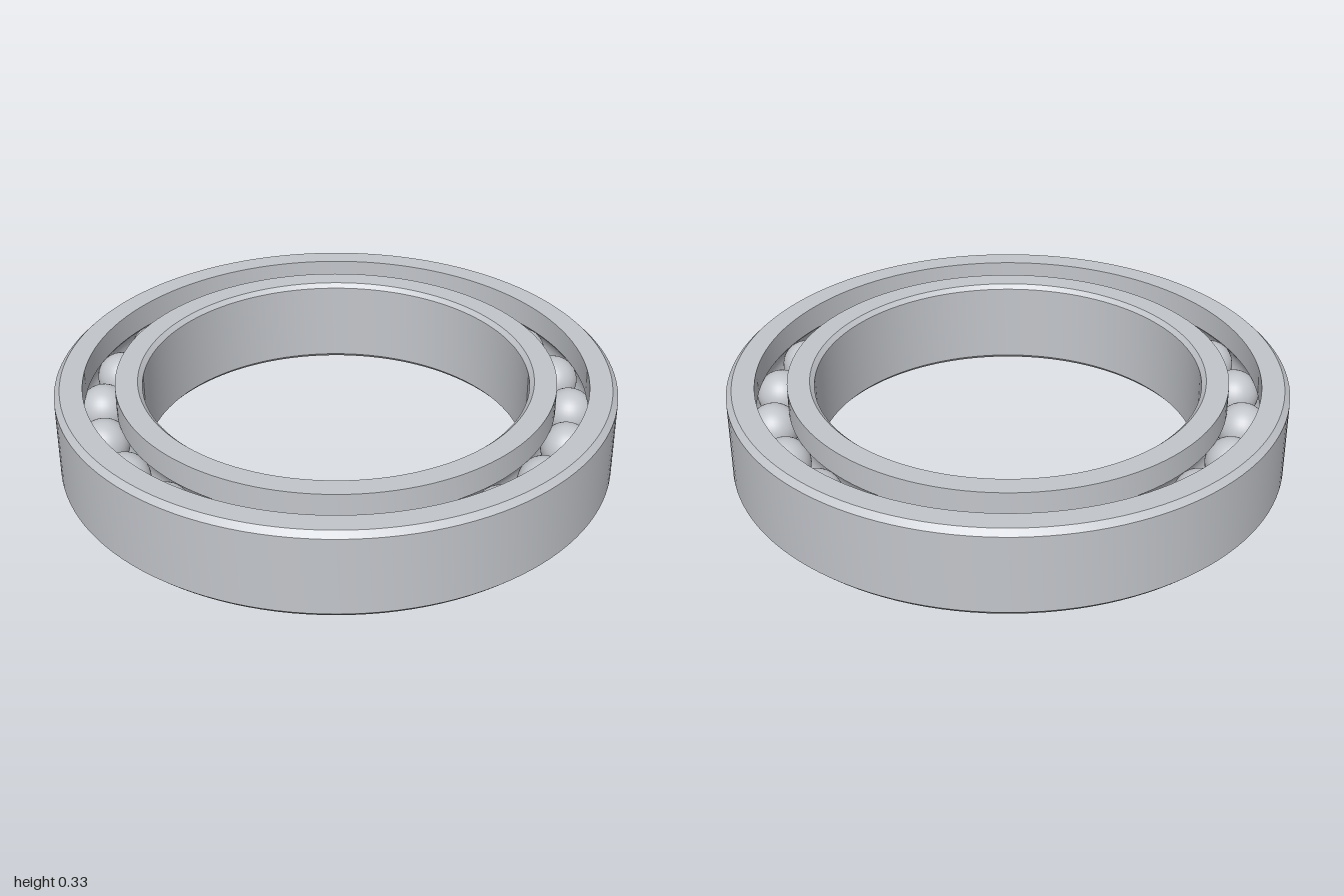
import * as THREE from 'three';
import { toCreasedNormals } from 'three/addons/utils/BufferGeometryUtils.js';

const HEIGHT = 0.328, MID = HEIGHT / 2;
const PITCH = 0.842, BALL_R = 0.09, GROOVE_R = 0.091, BALLS = 22;

export function createModel() {
  const steel = new THREE.MeshStandardMaterial({ color: 0xc2c5ca });
  steel.name = 'steel';
  const bearing = new THREE.Group();
  bearing.name = 'ballBearing';

  // Ring: chamfered on its plain wall, with a ball groove in its track wall
  function addRing(name, wall, track, chamfer) {
    const side = Math.sign(wall - track); // +1 for the outer ring, -1 for the inner
    const pts = [
      [track, 0], [wall - side * chamfer, 0], [wall, chamfer],
      [wall, HEIGHT - chamfer], [wall - side * chamfer, HEIGHT], [track, HEIGHT],
    ];
    const half = Math.acos(Math.abs(track - PITCH) / GROOVE_R);
    for (let i = 0; i <= 12; i++) {
      const a = half * (1 - i / 6);
      pts.push([PITCH + side * GROOVE_R * Math.cos(a), MID + GROOVE_R * Math.sin(a)]);
    }
    pts.push([track, 0]);
    if (side < 0) pts.reverse(); // keep faces pointing outwards
    const lathe = new THREE.LatheGeometry(pts.map(p => new THREE.Vector2(...p)), 128);
    const ring = new THREE.Mesh(toCreasedNormals(lathe, Math.PI / 7), steel);
    ring.name = name;
    bearing.add(ring);
  }
  addRing('outerRing', 1, 0.9, 0.02);
  addRing('innerRing', 0.69, 0.786, 0.016);

  // Balls evenly spaced between the rings
  const balls = new THREE.Group();
  balls.name = 'balls';
  const ballGeometry = new THREE.SphereGeometry(BALL_R, 32, 20);
  for (let i = 0; i < BALLS; i++) {
    const a = (i / BALLS) * Math.PI * 2;
    const ball = new THREE.Mesh(ballGeometry, steel);
    ball.name = 'ball';
    ball.position.set(PITCH * Math.cos(a), MID, PITCH * Math.sin(a));
    balls.add(ball);
  }
  bearing.add(balls);
  return bearing;
}
